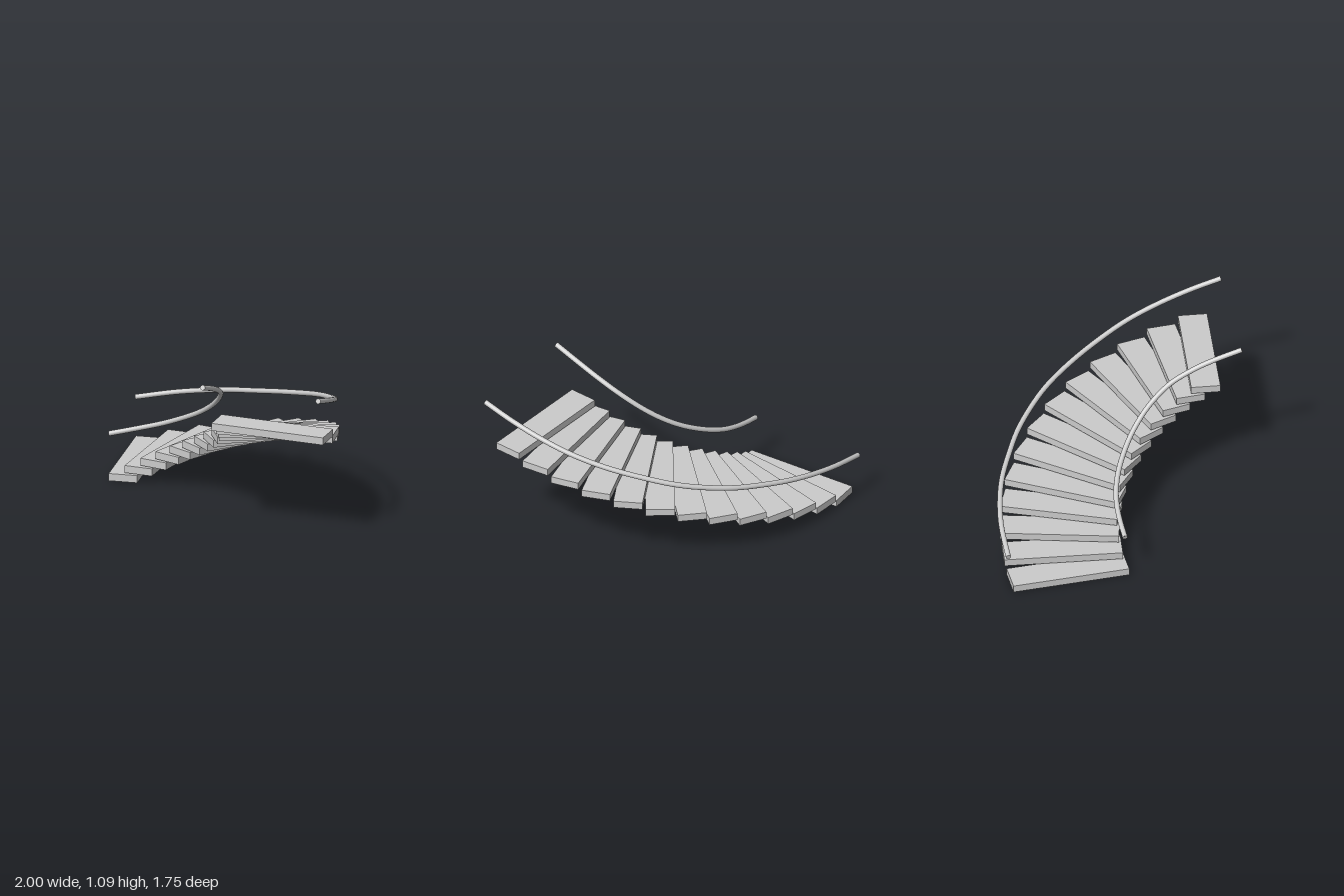
import * as THREE from 'three';

const material = new THREE.MeshStandardMaterial({ color: 0xcccccc });
const rad = THREE.MathUtils.degToRad;

// Round handrail swept through a few points, with flat end caps
function makeRail(name, points) {
  const radius = 0.018;
  const curve = new THREE.CatmullRomCurve3(points.map((p) => new THREE.Vector3(...p)));
  const rail = new THREE.Group();
  rail.name = name;
  const bar = new THREE.Mesh(new THREE.TubeGeometry(curve, 64, radius, 16), material);
  bar.name = name + 'Bar';
  rail.add(bar);
  for (const t of [0, 1]) {
    const cap = new THREE.Mesh(new THREE.CircleGeometry(radius, 16), material);
    cap.name = name + 'Cap';
    const outward = curve.getTangent(t).multiplyScalar(t ? 1 : -1);
    cap.quaternion.setFromUnitVectors(new THREE.Vector3(0, 0, 1), outward);
    cap.position.copy(curve.getPoint(t));
    rail.add(cap);
  }
  return rail;
}

export function createModel() {
  const model = new THREE.Group();
  model.name = 'curvedStaircase';

  // Treads: equal slabs rising along an arc, each turned half a step ahead
  const count = 13, rise = 0.06, thickness = 0.052, step = 8.1;
  const radius = 1.157, centreX = -0.58, centreZ = 0.715;
  const slab = new THREE.BoxGeometry(0.81, thickness, 0.2);
  const treads = new THREE.Group();
  treads.name = 'treads';
  for (let i = 0; i < count; i++) {
    const place = rad(-102.1 + step * i);
    const facing = rad(-98.1 + step * i);
    const tread = new THREE.Mesh(slab, material);
    tread.name = 'tread' + (i + 1);
    tread.position.set(
      centreX + radius * Math.cos(place),
      thickness / 2 + rise * i,
      centreZ + radius * Math.sin(place)
    );
    // Slight outward fall that grows up the flight
    tread.rotation.set(0, -facing, -rad(0.5) * i / (count - 1));
    treads.add(tread);
  }
  model.add(treads);

  // Handrails along the outside and inside of the curve
  model.add(makeRail('outerRail', [
    [-0.995, 0.318, -0.84], [-0.72, 0.38, -0.862], [-0.5, 0.425, -0.85], [-0.3, 0.465, -0.815],
    [-0.1, 0.505, -0.75], [0.1, 0.55, -0.67], [0.3, 0.605, -0.55], [0.45, 0.655, -0.43],
    [0.6, 0.717, -0.26], [0.74, 0.783, -0.06], [0.85, 0.855, 0.15], [0.92, 0.927, 0.37],
    [0.963, 1.0, 0.6], [0.982, 1.063, 0.805],
  ]));
  model.add(makeRail('innerRail', [
    [-0.872, 0.33, -0.03], [-0.74, 0.365, -0.05], [-0.62, 0.4, -0.06], [-0.5, 0.44, -0.056],
    [-0.36, 0.5, -0.027], [-0.2, 0.585, 0.04], [-0.08, 0.67, 0.12], [0.02, 0.765, 0.225],
    [0.1, 0.87, 0.37], [0.138, 0.95, 0.53], [0.152, 1.0, 0.65], [0.163, 1.078, 0.868],
  ]));
  return model;
}
